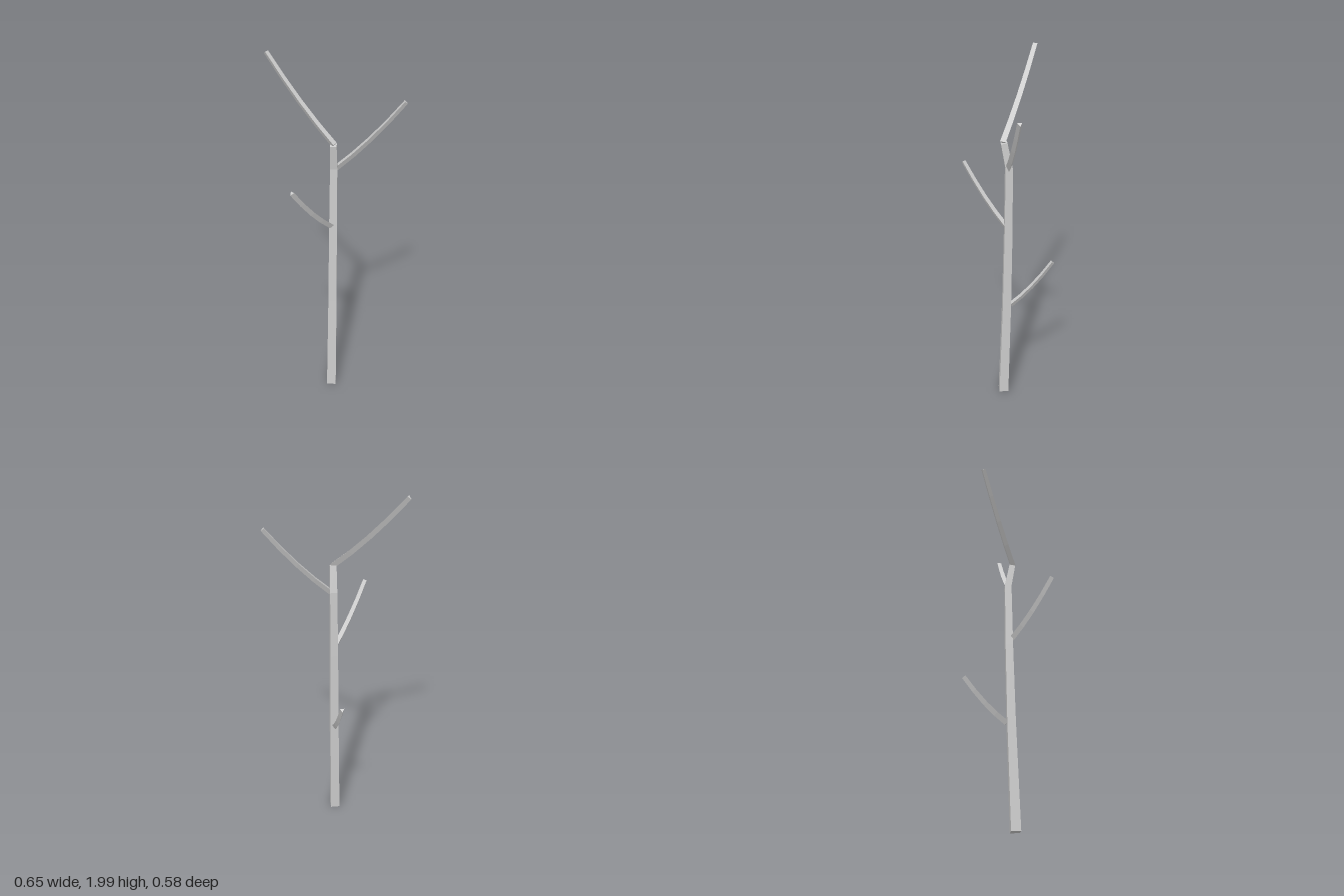
import * as THREE from 'three';

const V = (x, y, z) => new THREE.Vector3(x, y, z);

// Faceted, capped tube: one polygon ring per path point, perpendicular to the path.
function limb(name, points, radii, sides, phase, ref) {
  const last = points.length - 1;
  const rings = points.map((p, i) => {
    const t = points[Math.min(i + 1, last)].clone().sub(points[Math.max(i - 1, 0)]).normalize();
    const s = ref.clone().cross(t).normalize();
    const u = t.clone().cross(s);
    return Array.from({ length: sides }, (_, k) => {
      const a = phase + (k / sides) * Math.PI * 2;
      return p.clone().addScaledVector(s, Math.cos(a) * radii[i]).addScaledVector(u, Math.sin(a) * radii[i]);
    });
  });
  const tris = [];
  for (let k = 0; k < sides; k++) {
    const n = (k + 1) % sides;
    for (let i = 0; i < last; i++) {
      const a = rings[i][k], b = rings[i][n], c = rings[i + 1][n], d = rings[i + 1][k];
      tris.push(a, b, c, a, c, d);
    }
    tris.push(points[0], rings[0][n], rings[0][k]);
    tris.push(points[last], rings[last][k], rings[last][n]);
  }
  const geometry = new THREE.BufferGeometry().setFromPoints(tris);
  geometry.computeVertexNormals();
  const mesh = new THREE.Mesh(geometry, new THREE.MeshStandardMaterial({ color: 0xcccccc, flatShading: true }));
  mesh.name = name;
  return mesh;
}

// Three-sided branch, flat side up, curving gently upwards.
function branch(name, start, end, r0, r1) {
  const control = start.clone().lerp(end, 0.5);
  control.y -= 0.04;
  const points = new THREE.QuadraticBezierCurve3(start, control, end).getPoints(4);
  const radii = points.map((_, i) => THREE.MathUtils.lerp(r0, r1, i / 4));
  return limb(name, points, radii, 3, -Math.PI / 2, V(0, 1, 0));
}

export function createModel() {
  const tree = new THREE.Group();
  tree.name = 'bareTree';

  // Four-sided tapering trunk, corners towards the axes
  tree.add(limb('trunk', [
    V(0.09, 0, 0.003), V(0.077, 0.6, -0.013), V(0.069, 1.05, -0.02),
    V(0.066, 1.43, -0.024), V(0.082, 1.57, -0.005),
  ], [0.037, 0.033, 0.03, 0.027, 0.024], 4, 0, V(0, 0, 1)));

  // Branches, from the lowest to the top
  tree.add(
    branch('lowBackBranch', V(0.06, 0.59, -0.028), V(-0.119, 0.842, -0.186), 0.017, 0.014),
    branch('frontBranch', V(0.074, 1.09, -0.003), V(0.079, 1.395, 0.281), 0.017, 0.014),
    branch('upperBackBranch', V(0.075, 1.43, -0.03), V(0.313, 1.797, -0.284), 0.018, 0.014),
    branch('topBranch', V(0.087, 1.572, -0.005), V(-0.317, 1.988, 0.094), 0.019, 0.015),
  );
  return tree;
}
